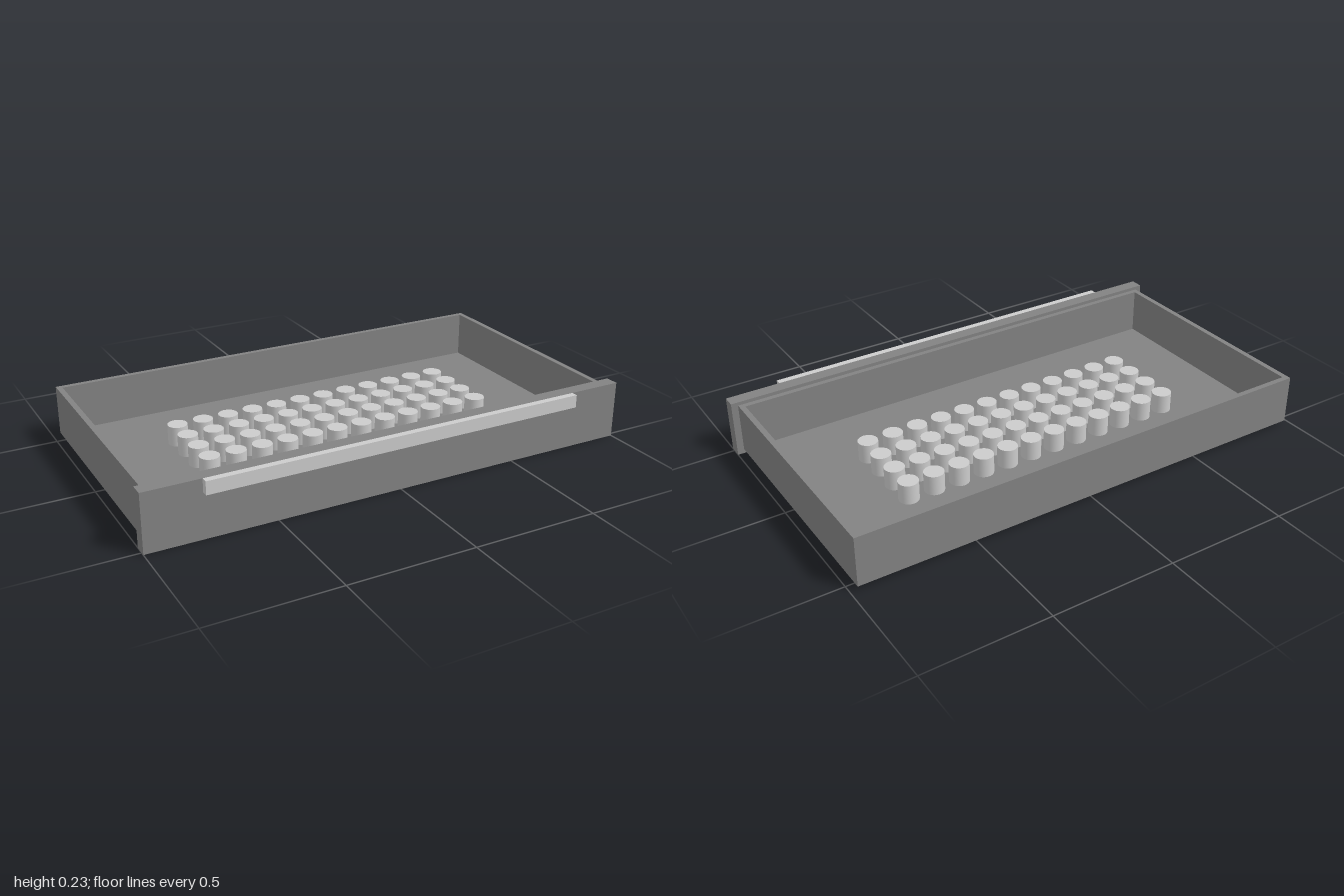
import * as THREE from 'three';

const dark = new THREE.MeshStandardMaterial({ color: 0x828282 });
const light = new THREE.MeshStandardMaterial({ color: 0xcccccc });

// Box given by its minimum and maximum corners
function block(name, material, [x0, y0, z0], [x1, y1, z1]) {
  const mesh = new THREE.Mesh(new THREE.BoxGeometry(x1 - x0, y1 - y0, z1 - z0), material);
  mesh.position.set((x0 + x1) / 2, (y0 + y1) / 2, (z0 + z1) / 2);
  mesh.name = name;
  return mesh;
}

export function createModel() {
  const model = new THREE.Group();
  model.name = 'drawer';

  const halfWidth = 0.973, back = -0.542, front = 0.462;
  const bottom = 0.017, top = 0.217, wall = 0.022, floorTop = bottom + 0.011;

  // Floor of the tray
  model.add(block('floor', dark, [-halfWidth, bottom, back], [halfWidth, floorTop, front]));

  // Four walls as one rectangular frame with an opening
  const depth = front - back;
  const frame = new THREE.Shape([
    new THREE.Vector2(-halfWidth, -depth / 2), new THREE.Vector2(halfWidth, -depth / 2),
    new THREE.Vector2(halfWidth, depth / 2), new THREE.Vector2(-halfWidth, depth / 2),
  ]);
  const ix = halfWidth - wall, iz = depth / 2 - wall;
  frame.holes.push(new THREE.Path([
    new THREE.Vector2(-ix, -iz), new THREE.Vector2(-ix, iz),
    new THREE.Vector2(ix, iz), new THREE.Vector2(ix, -iz),
  ]));
  const wallGeometry = new THREE.ExtrudeGeometry(frame, { depth: top - floorTop, bevelEnabled: false });
  wallGeometry.rotateX(-Math.PI / 2);
  const walls = new THREE.Mesh(wallGeometry, dark);
  walls.position.set(0, floorTop, (front + back) / 2);
  walls.name = 'walls';
  model.add(walls);

  // Front panel, slightly larger than the tray, with a long grip along its top
  model.add(block('frontPanel', dark, [-1, 0, front], [1, 0.231, 0.516]));
  model.add(block('handle', light, [-0.778, 0.179, 0.516], [0.778, 0.231, 0.542]));

  // Grid of round pegs standing on the floor
  const pegs = new THREE.Group();
  pegs.name = 'pegs';
  const pegHeight = 0.08, pitch = 0.108;
  const pegGeometry = new THREE.CylinderGeometry(0.04, 0.04, pegHeight, 24);
  for (let row = 0; row < 4; row++) {
    for (let col = 0; col < 12; col++) {
      const peg = new THREE.Mesh(pegGeometry, light);
      peg.position.set((col - 5.5) * pitch, floorTop + pegHeight / 2, (front + back) / 2 + (row - 1.5) * pitch);
      peg.name = 'peg';
      pegs.add(peg);
    }
  }
  model.add(pegs);

  return model;
}
